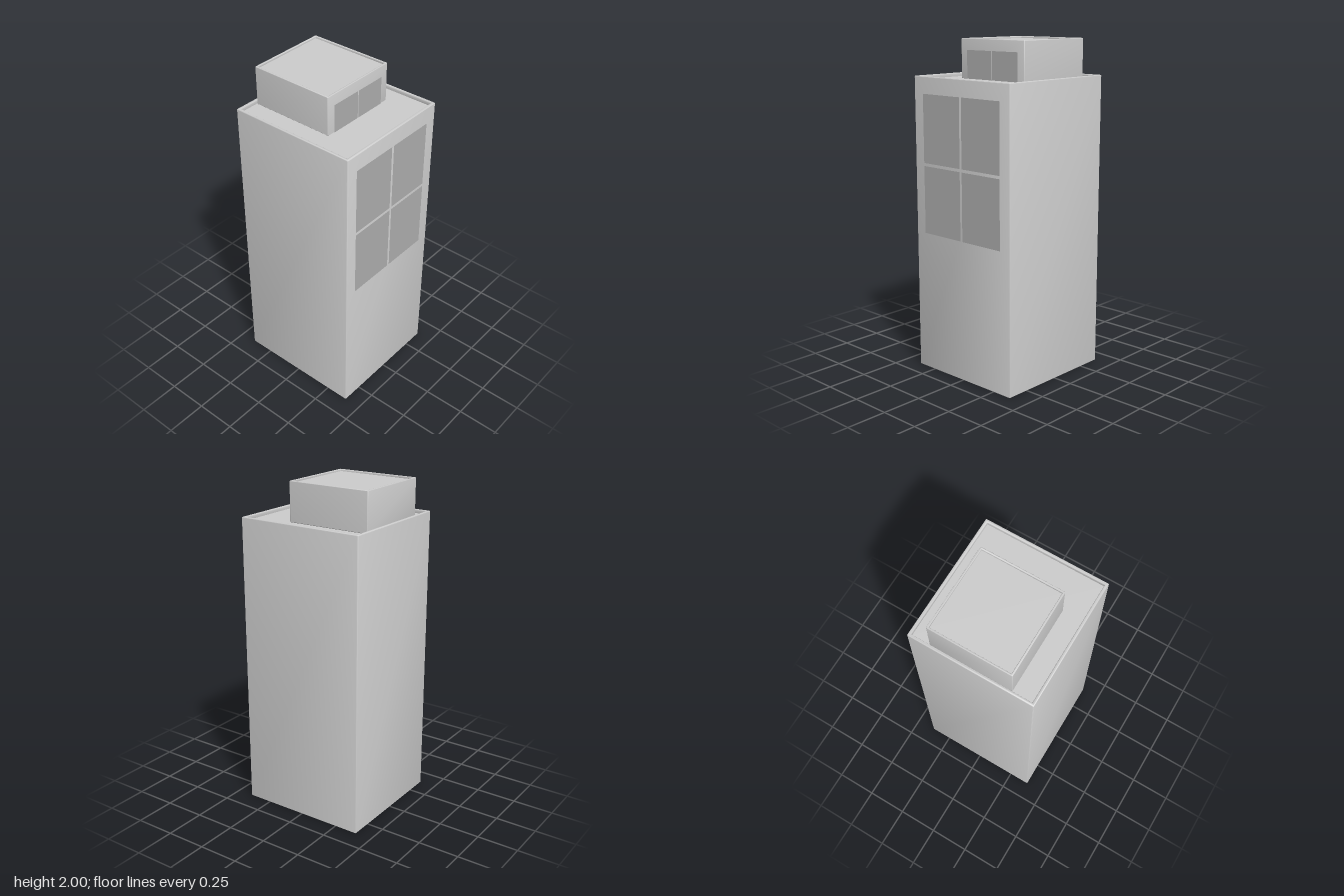
import * as THREE from 'three';
import { toCreasedNormals } from 'three/addons/utils/BufferGeometryUtils.js';

const wallMat = new THREE.MeshStandardMaterial({ color: 0xcccccc });
const glassMat = new THREE.MeshStandardMaterial({ color: 0xaeaeae });

// Rounded rectangle loop, counter-clockwise seen from the front (+x towards +z)
function loop(hx, hz, y, r, steps = 4) {
  const pts = [];
  for (let c = 0; c < 4; c++) {
    const sx = c === 0 || c === 3 ? 1 : -1;
    const sz = c < 2 ? 1 : -1;
    for (let i = 0; i <= steps; i++) {
      const a = (c + i / steps) * Math.PI / 2;
      pts.push([sx * (hx - r) + r * Math.cos(a), y, sz * (hz - r) + r * Math.sin(a)]);
    }
  }
  return pts;
}

// Closed block with softened edges and a raised rim around a sunken roof
function rimmedBlock(name, w, d, h, rim, depth, bevel) {
  const profile = [[0.003, 0], [0, 0.003]]; // [inset, y]
  for (let i = 0; i <= 4; i++) {
    const a = (i / 4) * Math.PI / 2;
    profile.push([bevel * (1 - Math.cos(a)), h - bevel * (1 - Math.sin(a))]);
  }
  for (let i = 0; i <= 4; i++) {
    const a = (i / 4) * Math.PI / 2;
    profile.push([rim - bevel * (1 - Math.sin(a)), h - bevel * (1 - Math.cos(a))]);
  }
  profile.push([rim, h - depth]);

  const rings = profile.map(([inset, y]) =>
    loop(w / 2 - inset, d / 2 - inset, y, Math.max(0.006 - inset, 0.002)));
  const n = rings[0].length;
  const index = [];
  for (let j = 0; j < rings.length - 1; j++) {
    for (let i = 0; i < n; i++) {
      const a = j * n + i, b = j * n + (i + 1) % n;
      index.push(a, a + n, b, b, a + n, b + n);
    }
  }
  // Underside and roof caps
  const base = rings.length * n, last = base - n;
  for (let i = 0; i < n; i++) {
    const k = (i + 1) % n;
    index.push(base, i, k, base + 1, last + k, last + i);
  }
  const verts = [...rings.flat(), [0, 0, 0], [0, h - depth, 0]].flat();
  const geo = new THREE.BufferGeometry();
  geo.setAttribute('position', new THREE.Float32BufferAttribute(verts, 3));
  geo.setIndex(index);
  const mesh = new THREE.Mesh(toCreasedNormals(geo, 0.6), wallMat);
  mesh.name = name;
  return mesh;
}

// Flush panes laid out from column and row spans, facing the front
function paneGrid(name, columns, rows, z) {
  const group = new THREE.Group();
  group.name = name;
  for (const [x0, x1] of columns) {
    for (const [y0, y1] of rows) {
      const pane = new THREE.Mesh(new THREE.PlaneGeometry(x1 - x0, y1 - y0), glassMat);
      pane.position.set((x0 + x1) / 2, (y0 + y1) / 2, z);
      pane.name = 'windowPane';
      group.add(pane);
    }
  }
  return group;
}

export function createModel() {
  const model = new THREE.Group();
  model.name = 'towerBlock';

  // Main tower
  model.add(rimmedBlock('tower', 0.762, 0.794, 1.788, 0.018, 0.022, 0.006));
  model.add(paneGrid('towerWindows',
    [[-0.308, -0.008], [0.008, 0.306]], [[0.855, 1.262], [1.28, 1.687]], 0.398));

  // Smaller storey on the roof, set towards the back
  const roofY = 1.766;
  const penthouse = rimmedBlock('penthouse', 0.5, 0.523, 2 - roofY, 0.012, 0.012, 0.004);
  penthouse.position.set(0.007, roofY, -0.114);
  model.add(penthouse);
  model.add(paneGrid('penthouseWindows',
    [[-0.193, 0.003], [0.009, 0.206]], [[roofY, 1.933]], 0.1485));

  return model;
}
